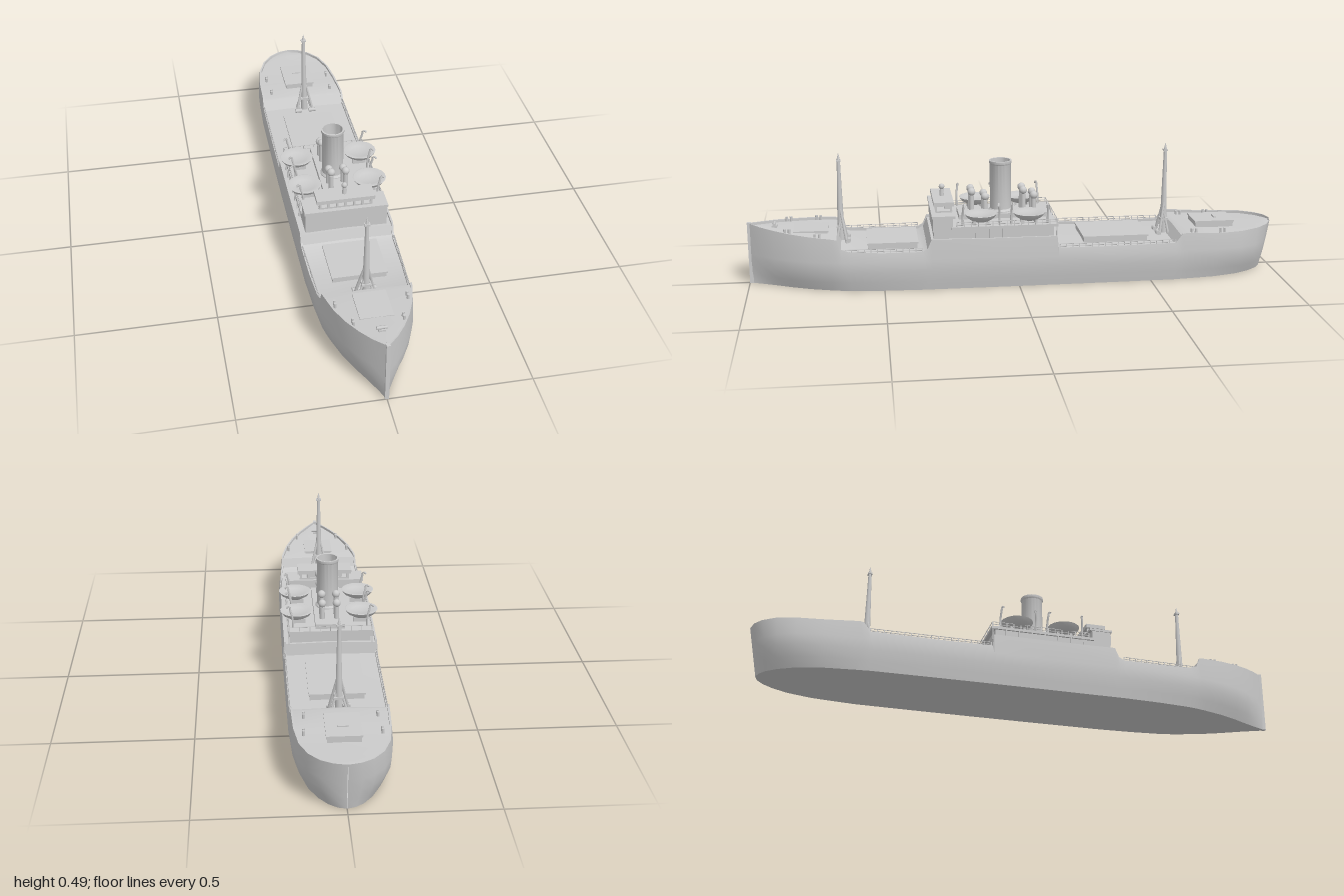
import * as THREE from 'three';
import { toCreasedNormals } from 'three/addons/utils/BufferGeometryUtils.js';

const material = new THREE.MeshStandardMaterial({ color: 0xcccccc, side: THREE.DoubleSide });
const V = (x, y, z) => new THREE.Vector3(x, y, z);

export function createModel() {
  const ship = new THREE.Group();
  ship.name = 'cargoShip';

  const add = (name, geometry, x = 0, y = 0, z = 0) => {
    const mesh = new THREE.Mesh(geometry, material);
    mesh.name = name;
    mesh.position.set(x, y, z);
    ship.add(mesh);
    return mesh;
  };
  // Box given by its half width, bottom and top, and back and front
  const box = (name, hw, y0, y1, z0, z1, x = 0) =>
    add(name, new THREE.BoxGeometry(hw * 2, y1 - y0, z1 - z0), x, (y0 + y1) / 2, (z0 + z1) / 2);
  // Tapered rod between two points
  const rod = (name, a, b, r0, r1 = r0, sides = 6) => {
    const mid = a.clone().add(b).multiplyScalar(0.5);
    const mesh = add(name, new THREE.CylinderGeometry(r1, r0, a.distanceTo(b), sides), mid.x, mid.y, mid.z);
    mesh.quaternion.setFromUnitVectors(V(0, 1, 0), b.clone().sub(a).normalize());
    return mesh;
  };
  const lathe = (name, profile, sides, x, y, z) =>
    add(name, toCreasedNormals(new THREE.LatheGeometry(profile.map(p => new THREE.Vector2(...p)), sides), 0.7), x, y, z);

  // Hull stations from bow to stern: z, half width at the top, at the bottom, top height
  const stations = [
    [0.992, 0.005, 0.004, 0.232], [0.95, 0.042, 0.022, 0.226], [0.9, 0.076, 0.045, 0.221],
    [0.84, 0.108, 0.075, 0.215], [0.77, 0.135, 0.105, 0.209], [0.69, 0.154, 0.13, 0.203],
    [0.67, 0.157, 0.135, 0.2], [0.655, 0.159, 0.139, 0.165], [0.62, 0.163, 0.146, 0.153],
    [0.5, 0.17, 0.157, 0.149], [0.36, 0.172, 0.163, 0.149], [0.34, 0.172, 0.163, 0.16],
    [0.325, 0.172, 0.163, 0.195], [0.1, 0.173, 0.164, 0.192], [-0.14, 0.173, 0.164, 0.192],
    [-0.145, 0.173, 0.164, 0.147], [-0.35, 0.172, 0.163, 0.145], [-0.59, 0.17, 0.16, 0.148],
    [-0.615, 0.169, 0.157, 0.18], [-0.63, 0.168, 0.156, 0.184], [-0.75, 0.163, 0.143, 0.177],
    [-0.85, 0.149, 0.118, 0.178], [-0.92, 0.122, 0.088, 0.181], [-0.965, 0.085, 0.058, 0.183],
    [-0.99, 0.045, 0.03, 0.185], [-1, 0.001, 0.001, 0.185],
  ];
  const hullSection = ([z, top, bottom, h]) => {
    const bulge = top * 1.035, inner = Math.max(0, top - 0.007), deck = h - 0.01;
    const half = [[0, 0], [bottom, 0], [bottom * 0.55 + bulge * 0.45, 0.035], [bulge * 0.9 + bottom * 0.1, 0.075],
      [bulge, 0.115], [top, h], [inner, h], [inner, deck], [0, deck + 0.004]];
    const ring = [...half, ...half.slice(0, -1).reverse().map(([x, y]) => [-x, y])];
    const rake = z < -0.8 ? (-z - 0.8) * 0.17 : 0;
    return ring.map(([x, y]) => [x, y, z + rake * Math.max(0, 1 - y / h)]);
  };
  const rings = stations.map(hullSection), n = rings[0].length, index = [];
  for (let j = 0; j < rings.length - 1; j++)
    for (let i = 0; i < n - 1; i++) {
      const a = j * n + i, b = a + n;
      index.push(a, b, a + 1, a + 1, b, b + 1);
    }
  const hull = new THREE.BufferGeometry();
  hull.setAttribute('position', new THREE.Float32BufferAttribute(rings.flat(2), 3));
  hull.setIndex(index);
  add('hull', toCreasedNormals(hull, 0.6));
  box('stem', 0.007, 0, 0.235, 0.985, 1);

  // Cargo hatches: coaming and overhanging cover
  const hatch = (hw, y0, y1, z0, z1) => {
    box('hatchCoaming', hw - 0.004, y0, y1, z0 + 0.004, z1 - 0.004);
    box('hatchCover', hw, y1 - 0.006, y1, z0, z1);
  };
  hatch(0.1, 0.13, 0.166, 0.37, 0.56);
  hatch(0.1, 0.13, 0.163, -0.5, -0.25);
  hatch(0.058, 0.19, 0.209, 0.7, 0.83);
  hatch(0.06, 0.165, 0.196, -0.845, -0.69);

  // Midship superstructure
  box('lowerHouse', 0.15, 0.18, 0.226, -0.13, 0.315);
  box('boatDeck', 0.157, 0.224, 0.234, -0.145, 0.25);
  box('engineCasing', 0.055, 0.23, 0.252, -0.125, 0.215);
  box('bridgeHouse', 0.15, 0.215, 0.268, 0.245, 0.318);
  box('bridgeDeck', 0.153, 0.266, 0.275, 0.235, 0.322);
  box('wheelhouseSill', 0.098, 0.274, 0.281, 0.245, 0.305);
  box('wheelhouseBack', 0.07, 0.274, 0.302, 0.25, 0.27);
  box('wheelhouseRoof', 0.106, 0.3, 0.315, 0.237, 0.312);
  for (let i = 0; i < 7; i++)
    for (const z of [0.247, 0.303])
      box('wheelhousePillar', 0.004, 0.279, 0.302, z - 0.004, z + 0.004, -0.093 + i * 0.031);
  rod('compassPost', V(0, 0.313, 0.275), V(0, 0.345, 0.275), 0.009, 0.006, 8);
  add('compassHead', new THREE.SphereGeometry(0.011, 8, 6), 0, 0.35, 0.275);

  // Funnel, open at the top
  lathe('funnel', [[0.046, 0.232], [0.046, 0.255], [0.04, 0.262], [0.04, 0.432], [0.043, 0.436], [0.043, 0.446],
    [0.037, 0.446], [0.036, 0.4], [0, 0.4]], 20, 0, 0, 0.053);

  for (const s of [-1, 1]) {
    // Cowl ventilators around the funnel
    for (const z of [0.165, 0.115, -0.03, -0.07]) {
      const tall = z === 0.165 || z === -0.03 ? 0.02 : 0;
      rod('ventilatorTrunk', V(s * 0.027, 0.25, z), V(s * 0.027, 0.3 + tall, z), 0.01, 0.009, 8);
      add('ventilatorCowl', new THREE.SphereGeometry(0.015, 10, 8), s * 0.027, 0.313 + tall, z);
    }
    // Lifeboats on chocks, each with a pair of davits
    for (const z of [0.14, -0.04]) {
      lathe('lifeboat', [[0, -0.03], [0.55, -0.026], [0.85, -0.014], [1, 0], [0.94, 0.001], [0.6, -0.006], [0, -0.009]],
        18, s * 0.122, 0.275, z).scale.set(0.062, 1, 0.06);
      box('boatChock', 0.025, 0.232, 0.252, z - 0.03, z - 0.02, s * 0.115);
      box('boatChock', 0.025, 0.232, 0.252, z + 0.02, z + 0.03, s * 0.115);
      for (const e of [-1, 1]) {
        const path = new THREE.CatmullRomCurve3([V(s * 0.138, 0.232, z + e * 0.068), V(s * 0.14, 0.275, z + e * 0.068),
          V(s * 0.148, 0.305, z + e * 0.066), V(s * 0.15, 0.32, z + e * 0.064), V(s * 0.162, 0.312, z + e * 0.062)]);
        add('davit', new THREE.TubeGeometry(path, 10, 0.004, 6));
      }
    }
    // Railings: posts and a top rail along runs of deck edge
    const rail = (z0, z1, x0, x1, y, height, count) => {
      for (let i = 0; i <= count; i++) {
        const t = i / count, x = s * (x0 + (x1 - x0) * t), z = z0 + (z1 - z0) * t;
        box('railPost', 0.0015, y, y + height, z - 0.0015, z + 0.0015, x);
      }
      for (const h of [height, height / 2])
        rod('rail', V(s * x0, y + h, z0), V(s * x1, y + h, z1), 0.0014, 0.0014, 4);
    };
    rail(0.36, 0.64, 0.169, 0.159, 0.146, 0.017, 12);
    rail(-0.59, -0.15, 0.167, 0.17, 0.143, 0.017, 18);
    rail(-0.14, 0.23, 0.154, 0.154, 0.232, 0.02, 14);
    // Stanchions between main deck and boat deck
    for (let i = 0; i < 8; i++) box('stanchion', 0.002, 0.18, 0.226, -0.142 + i * 0.05, -0.138 + i * 0.05, s * 0.155);
    // Mooring bollards
    for (const [x, y, z] of [[0.085, 0.21, 0.85], [0.125, 0.2, 0.74], [0.13, 0.17, -0.78], [0.125, 0.17, -0.67]])
      for (const d of [-0.008, 0.008]) rod('bollard', V(s * x, y, z + d), V(s * x, y + 0.018, z + d), 0.005, 0.005, 8);
  }
  rod('boatDeckAftRail', V(-0.154, 0.252, -0.142), V(0.154, 0.252, -0.142), 0.0014, 0.0014, 4);
  for (let i = 0; i < 9; i++) box('railPost', 0.0015, 0.232, 0.252, -0.1435, -0.1405, -0.154 + i * 0.0385);

  // Masts with winch house, splayed legs and a crosstree
  const mast = (z, base, top, side) => {
    rod('mast', V(0, base, z), V(0, top - 0.015, z), 0.014, 0.006, 10);
    rod('mastTip', V(0, top - 0.015, z), V(0, top + 0.008, z), 0.006, 0.001, 8);
    box('crosstree', 0.01, top - 0.022, top - 0.016, z - 0.008, z + 0.008);
    box('mastTable', 0.017, base + 0.055, base + 0.063, z - 0.015, z + 0.015);
    for (const s of [-1, 1]) {
      rod('mastLeg', V(s * 0.034, base, z + side * 0.022), V(s * 0.006, base + 0.13, z), 0.006, 0.004);
      rod('mastLeg', V(s * 0.03, base, z - side * 0.015), V(s * 0.005, base + 0.09, z), 0.005, 0.004);
      const drum = rod('winchDrum', V(s * 0.015, base + 0.012, z + side * 0.028), V(s * 0.042, base + 0.012, z + side * 0.028), 0.008, 0.008, 8);
      drum.name = 'winchDrum';
    }
  };
  mast(0.655, 0.15, 0.48, -1);
  mast(-0.58, 0.137, 0.485, 1);

  // Bow windlass and stern hatch fitting
  box('windlassBase', 0.012, 0.212, 0.222, 0.89, 0.91);
  rod('windlass', V(-0.018, 0.226, 0.9), V(0.018, 0.226, 0.9), 0.006, 0.006, 8);
  box('hatchFitting', 0.018, 0.195, 0.2, -0.785, -0.775);
  return ship;
}
